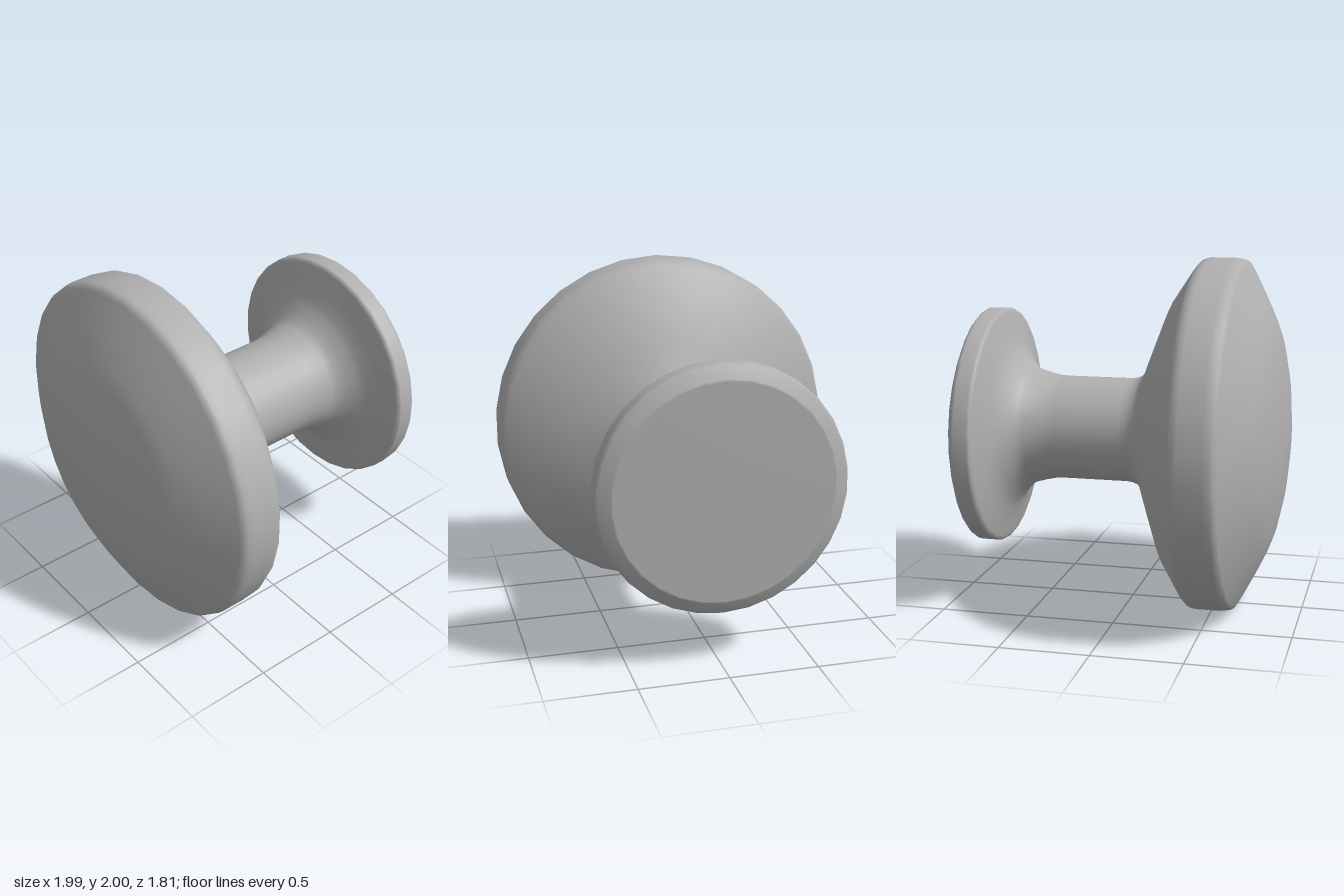
import * as THREE from 'three';

const SIDES = 30;

// Profiles as [radius, z], running from back to front.
const BASE = [
  [0, -0.905], [0.6, -0.905], [0.612, -0.9], [0.672, -0.872], [0.685, -0.86],
  [0.688, -0.845], [0.688, -0.772], [0.683, -0.758], [0.665, -0.75],
  [0.56, -0.722], [0.48, -0.698], [0.43, -0.67], [0.385, -0.635], [0.35, -0.6],
  [0.332, -0.565], [0.315, -0.505], [0.303, -0.45], [0.299, -0.4], [0.299, -0.2],
];
const KNOB = [
  [0.299, -0.2], [0.299, -0.02], [0.304, 0.02], [0.318, 0.055], [0.34, 0.078],
  [0.365, 0.092], [0.57, 0.175], [0.78, 0.262], [0.965, 0.385], [0.985, 0.4],
  [0.996, 0.425], [1, 0.45], [1, 0.58], [0.996, 0.615], [0.985, 0.636],
  [0.965, 0.65], [0.8, 0.735], [0.68, 0.792], [0.58, 0.83], [0.4, 0.87],
  [0.2, 0.895], [0, 0.905],
];

export function createModel() {
  const group = new THREE.Group();
  group.name = 'roundKnob';
  const grey = new THREE.MeshStandardMaterial({ color: 0xb0b0b0 });
  grey.name = 'grey';

  // Turned part whose axis runs along z at height 1
  const addTurned = (name, profile) => {
    const points = profile.map(([r, z]) => new THREE.Vector2(r, z));
    const geometry = new THREE.LatheGeometry(points, SIDES).rotateX(Math.PI / 2);
    const mesh = new THREE.Mesh(geometry, grey);
    mesh.name = name;
    mesh.position.y = 1;
    group.add(mesh);
  };

  addTurned('mountingBase', BASE); // back disc flaring into the neck
  addTurned('domedKnob', KNOB); // neck widening into the domed grip
  return group;
}
